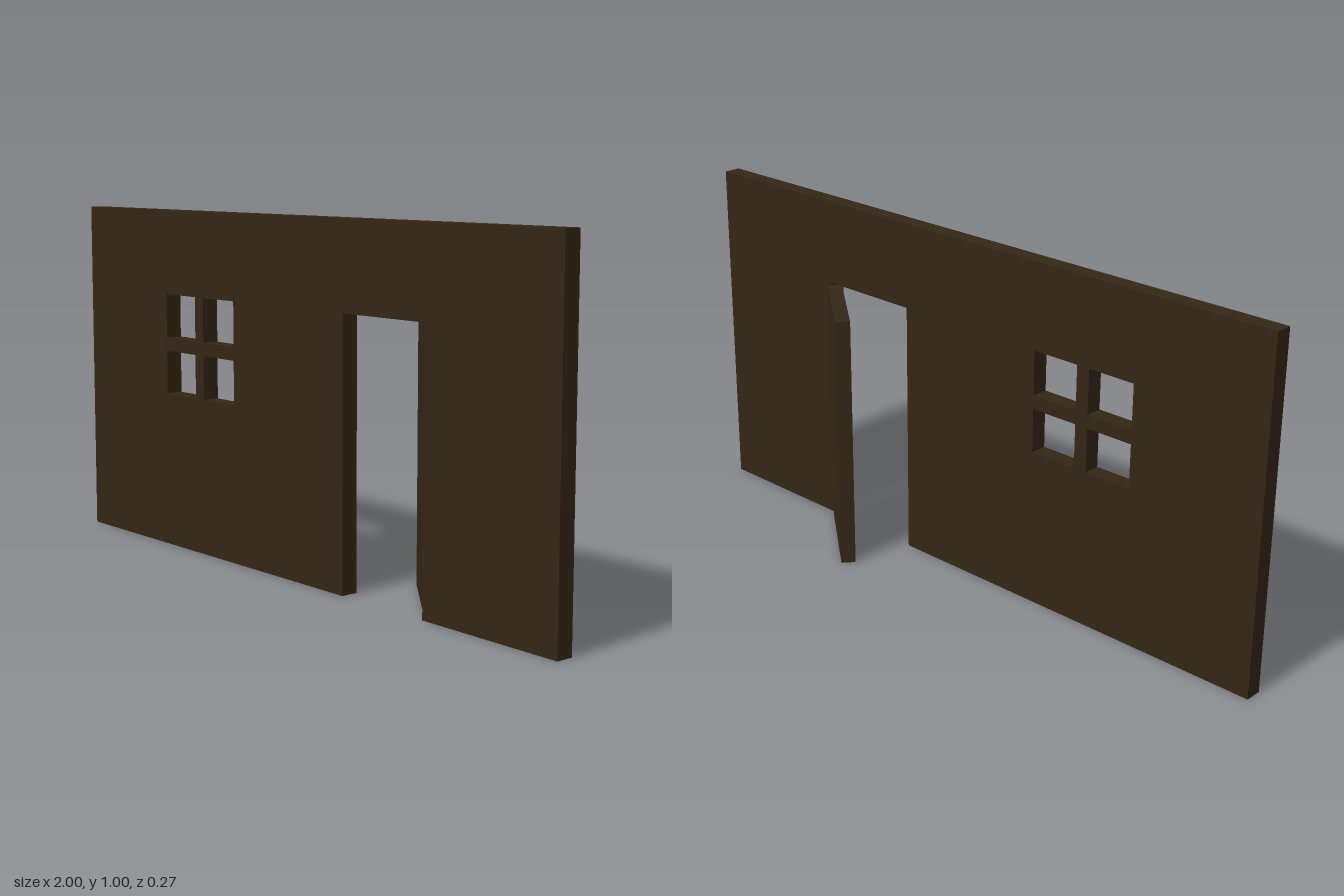
import * as THREE from 'three';

const HEIGHT = 1.005, THICKNESS = 0.05, WALL_BACK = 0.083;
const DOOR = { left: 0.222, right: 0.537, height: 0.757 };

function rectHole(x0, x1, y0, y1) {
  return new THREE.Path().moveTo(x0, y0).lineTo(x0, y1).lineTo(x1, y1).lineTo(x1, y0).closePath();
}

export function createModel() {
  const group = new THREE.Group();
  const wood = new THREE.MeshStandardMaterial({ color: 0x332615 });

  // Wall outline, with the doorway notched out of its lower edge
  const outline = new THREE.Shape([
    [-1, 0], [DOOR.left, 0], [DOOR.left, DOOR.height], [DOOR.right, DOOR.height],
    [DOOR.right, 0], [1, 0], [1, HEIGHT], [-1, HEIGHT],
  ].map(([x, y]) => new THREE.Vector2(x, y)));

  // Four window panes, leaving a cross of glazing bars flush with the wall
  for (const [x0, x1] of [[-0.59, -0.444], [-0.404, -0.257]]) {
    for (const [y0, y1] of [[0.46, 0.588], [0.627, 0.757]]) {
      outline.holes.push(rectHole(x0, x1, y0, y1));
    }
  }
  const wall = new THREE.Mesh(
    new THREE.ExtrudeGeometry(outline, { depth: THICKNESS, bevelEnabled: false }), wood);
  wall.name = 'wall';
  wall.position.z = WALL_BACK;
  group.add(wall);

  // Door standing ajar, swung backwards on its hinge side
  const door = new THREE.Mesh(new THREE.BoxGeometry(0.315, 0.755, 0.042), wood);
  door.name = 'door';
  door.position.set(0.396, 0.755 / 2, -0.018);
  door.rotation.y = -0.68;
  group.add(door);

  return group;
}
